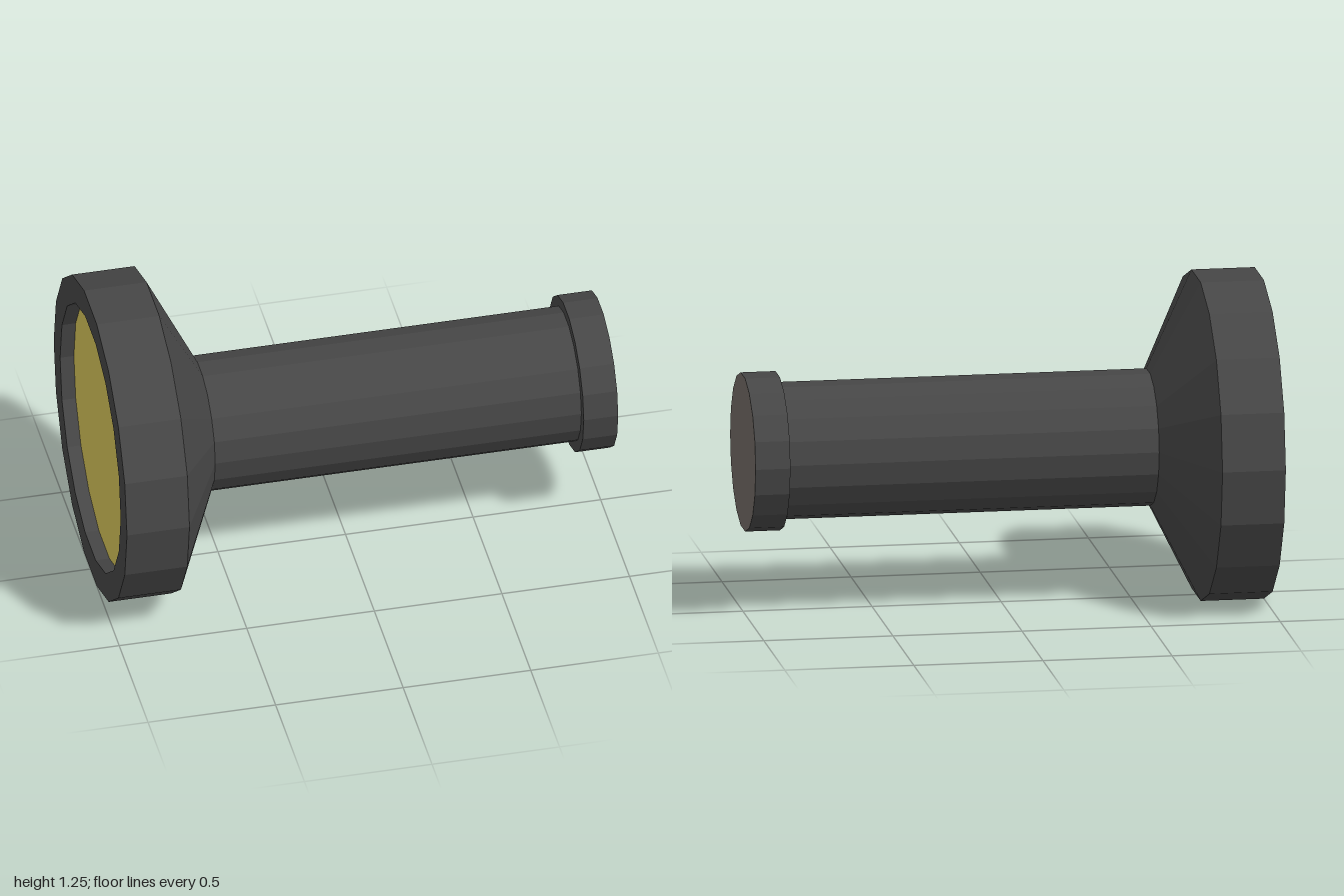
import * as THREE from 'three';

const SIDES = 18;
const AXIS_Y = 0.625;

// Faceted solid of revolution about the x axis; profile is [radius, x] from head to tail
function turned(name, profile, material) {
  const points = profile.map(([r, x]) => new THREE.Vector2(r, x));
  const geometry = new THREE.LatheGeometry(points, SIDES).rotateZ(-Math.PI / 2).toNonIndexed();
  geometry.computeVertexNormals();
  const mesh = new THREE.Mesh(geometry, material);
  mesh.name = name;
  mesh.position.y = AXIS_Y;
  return mesh;
}

// Flat disc across the axis, facing +x (dir 1) or -x (dir -1)
function disc(name, radius, x, dir, material) {
  const geometry = new THREE.CircleGeometry(radius, SIDES).rotateY(dir * Math.PI / 2);
  const mesh = new THREE.Mesh(geometry, material);
  mesh.name = name;
  mesh.position.set(x, AXIS_Y, 0);
  return mesh;
}

export function createModel() {
  const casing = new THREE.MeshStandardMaterial({ color: 0x464646 });
  casing.name = 'dark casing';
  const glass = new THREE.MeshStandardMaterial({ color: 0xd6c45a });
  glass.name = 'yellow lens';
  const button = new THREE.MeshStandardMaterial({ color: 0x716a64 });
  button.name = 'warm grey end';

  const model = new THREE.Group();
  model.name = 'flashlight';
  model.add(
    // Head: recess wall, bezel, rim and taper down to the handle
    turned('head', [[0.525, -0.946], [0.525, -1], [0.635, -1], [0.635, -0.755], [0.263, -0.57]], casing),
    turned('handle', [[0.263, -0.57], [0.263, 0.865]], casing),
    turned('tailCap', [[0.263, 0.865], [0.305, 0.865], [0.305, 1]], casing),
    disc('lens', 0.525, -0.946, -1, glass),
    disc('tailEnd', 0.305, 1, 1, button),
  );
  return model;
}
